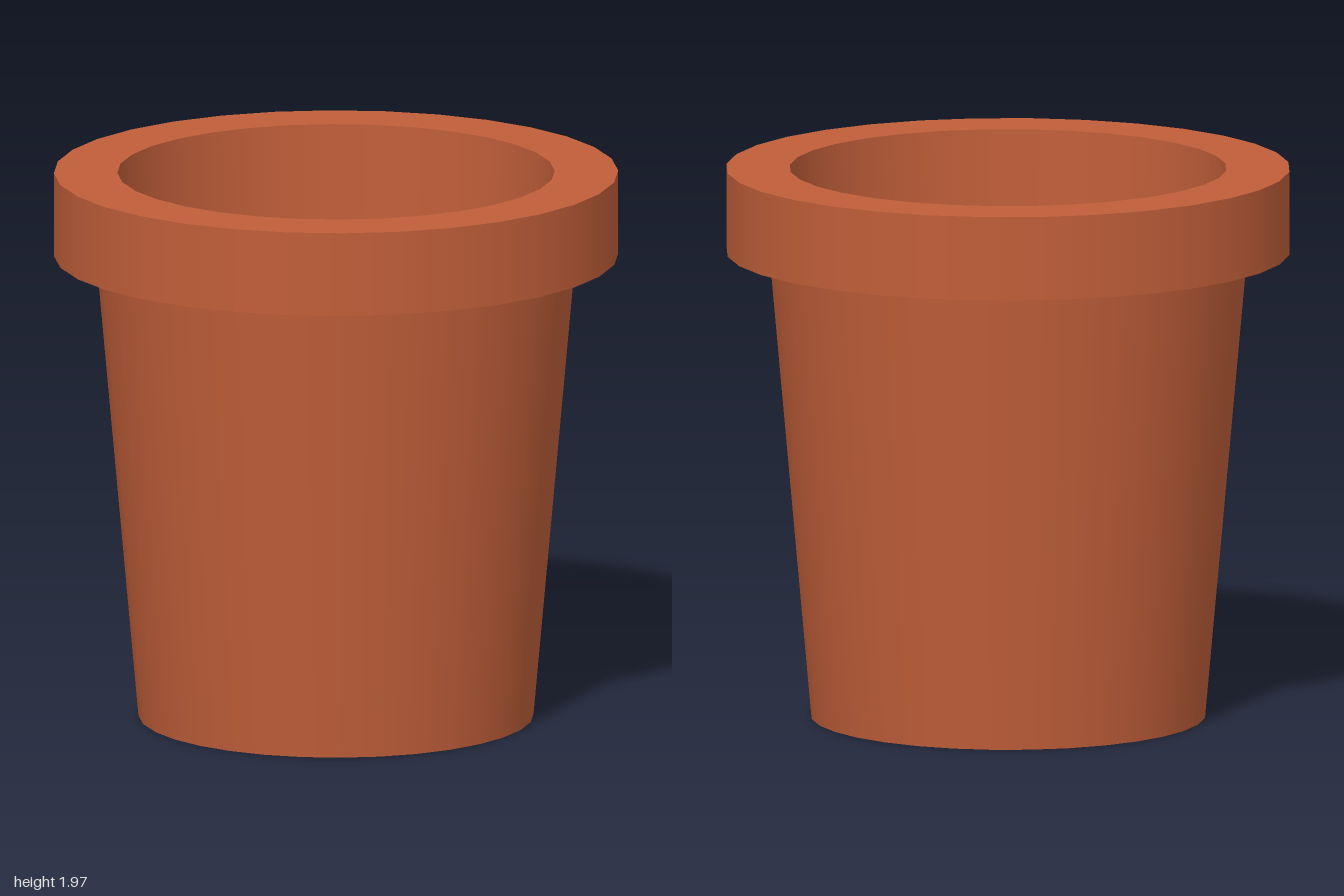
import * as THREE from 'three';
import { mergeGeometries } from 'three/addons/utils/BufferGeometryUtils.js';

const SIDES = 32;

// Revolve each straight run of a profile separately, so the rims stay sharp
// while the walls shade smoothly around. Profile order: up outside, down inside.
function turned(name, profile, material) {
  const bands = [];
  for (let i = 0; i < profile.length - 1; i++) {
    const ends = [profile[i], profile[i + 1]].map(([r, y]) => new THREE.Vector2(r, y));
    bands.push(new THREE.LatheGeometry(ends, SIDES));
  }
  const mesh = new THREE.Mesh(mergeGeometries(bands), material);
  mesh.name = name;
  return mesh;
}

export function createModel() {
  const pot = new THREE.Group();
  pot.name = 'flowerPot';

  const terracotta = new THREE.MeshStandardMaterial({ color: 0xc05e39 });
  terracotta.name = 'terracotta';

  const height = 1.97;
  const rimBase = 1.67;

  // Closed base and tapering outer wall
  pot.add(turned('body', [[0, 0], [0.7, 0], [0.85, rimBase]], terracotta));

  // Overhanging collar: underside, outer band and flat top
  pot.add(turned('rim', [[0.85, rimBase], [1, rimBase], [1, height], [0.775, height]], terracotta));

  // Hollow inside: tapering wall and floor
  pot.add(turned('interior', [[0.775, height], [0.7, 0.05], [0, 0.05]], terracotta));

  return pot;
}
